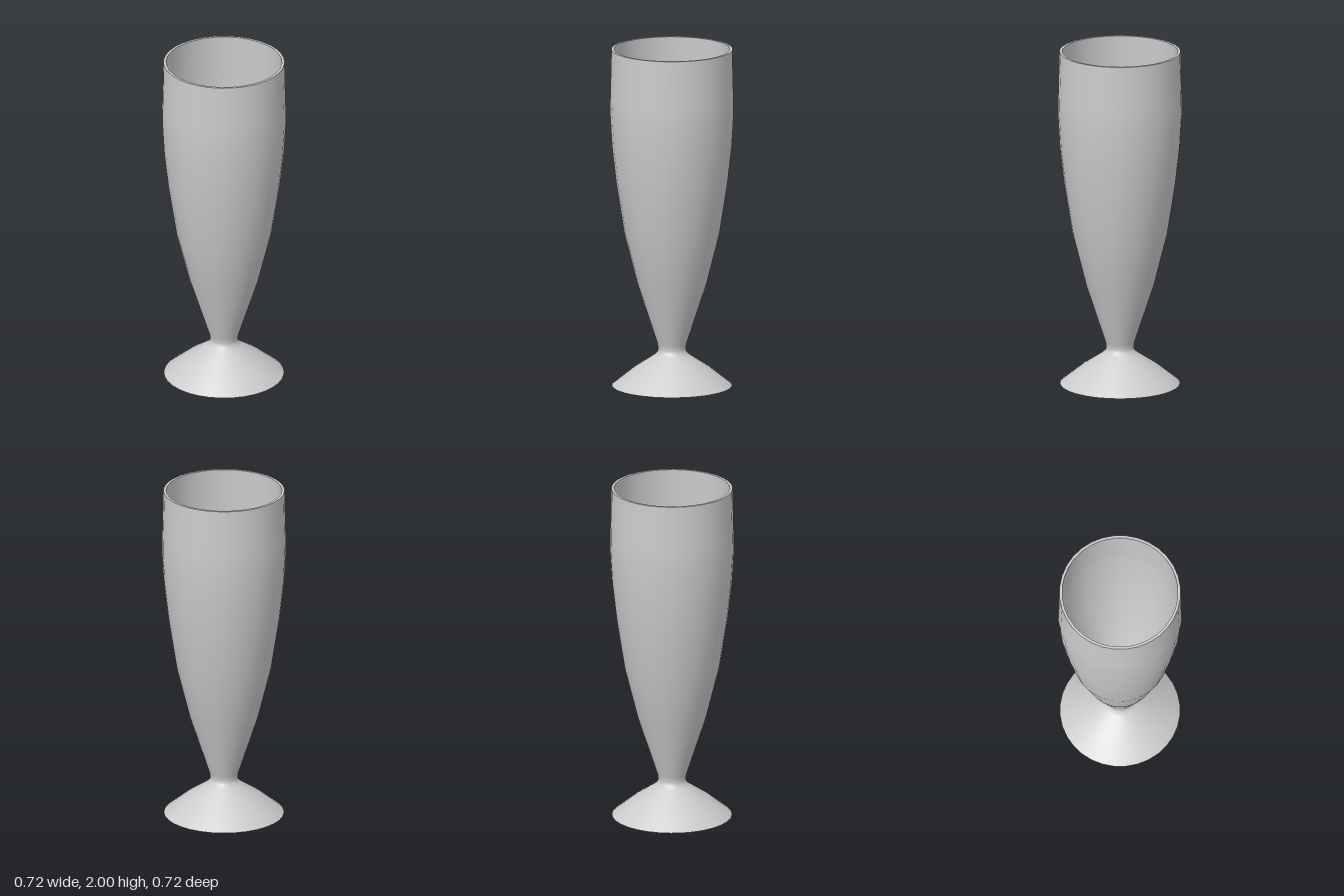
import * as THREE from 'three';

const SEGMENTS = 32;

export function createModel() {
  const glass = new THREE.Group();
  glass.name = 'footedGlass';
  const material = new THREE.MeshStandardMaterial({ color: 0xcccccc });

  // Each surface is turned separately so the edges between them stay sharp
  const turn = (name, profile) => {
    const points = profile.map(([r, y]) => new THREE.Vector2(r, y));
    const mesh = new THREE.Mesh(new THREE.LatheGeometry(points, SEGMENTS), material);
    mesh.name = name;
    glass.add(mesh);
  };

  // Outside: flared foot, narrow waist and tall bowl
  turn('outerWall', [
    [0.35, 0], [0.22, 0.105], [0.105, 0.18], [0.085, 0.2], [0.08, 0.22], [0.085, 0.25],
    [0.2, 0.6], [0.278, 0.91], [0.325, 1.21], [0.35, 1.43], [0.361, 1.62], [0.36, 1.71], [0.353, 2],
  ]);

  // Flat lip
  turn('rim', [[0.353, 2], [0.337, 2]]);

  // Inside of the bowl and its flat floor
  turn('innerWall', [
    [0.337, 2], [0.343, 1.71], [0.343, 1.62], [0.333, 1.43], [0.308, 1.21],
    [0.261, 0.91], [0.182, 0.6], [0.06, 0.25],
  ]);
  turn('bowlFloor', [[0.06, 0.25], [0, 0.25]]);

  // Hollow underside of the foot
  turn('footCeiling', [[0, 0.15], [0.07, 0.15]]);
  turn('footHollow', [[0.07, 0.15], [0.335, 0]]);
  turn('footEdge', [[0.335, 0], [0.35, 0]]);

  return glass;
}
